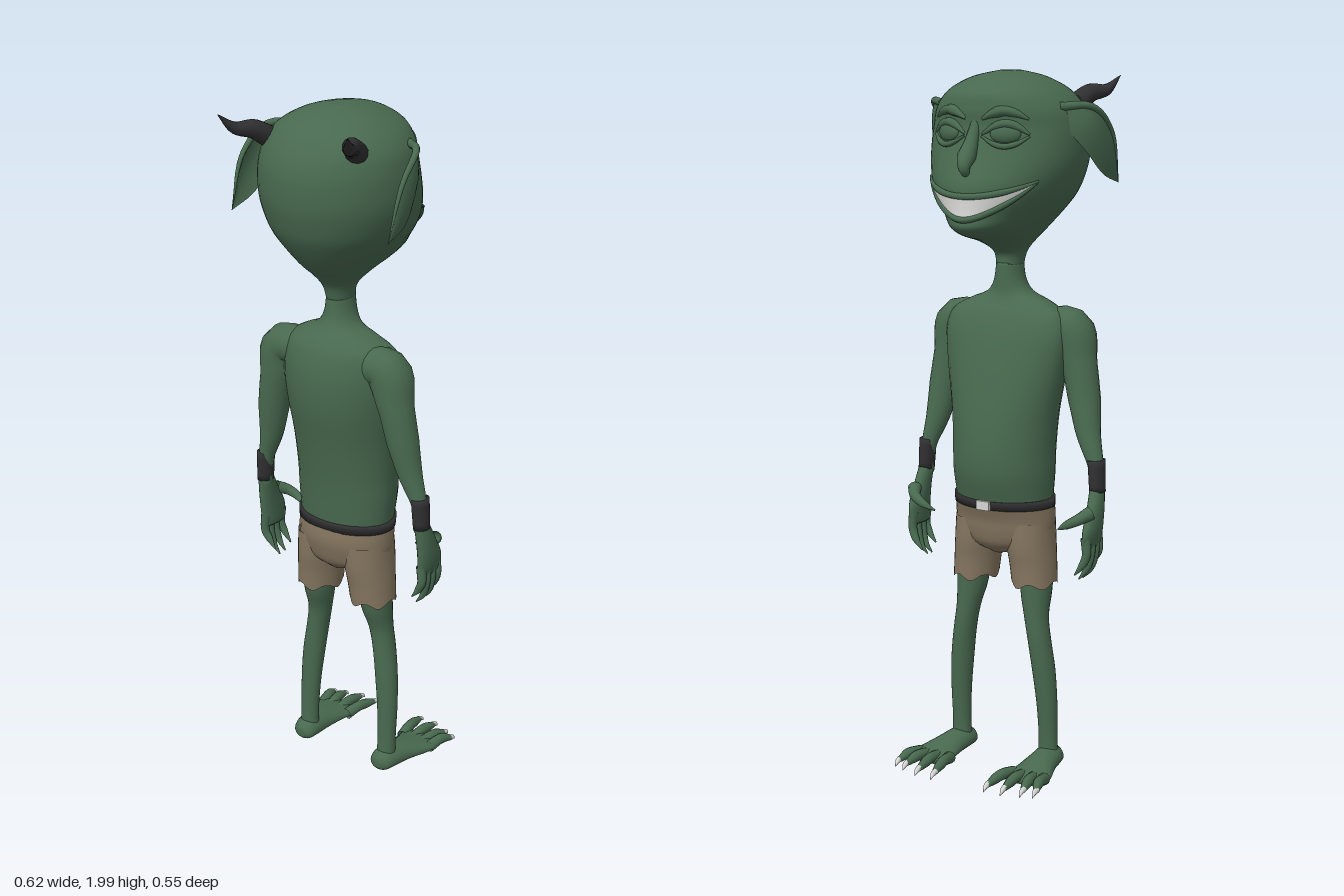
import * as THREE from 'three';

const mat = (name, color, side = THREE.FrontSide) => {
  const m = new THREE.MeshStandardMaterial({ color, side });
  m.name = name;
  return m;
};

// Catmull-Rom sampling of rings [cx, y, cz, halfWidth, depthFront, depthBack]
function sampleRings(rings, steps) {
  const out = [], n = rings.length - 1;
  for (let s = 0; s <= n * steps; s++) {
    const i = Math.min(Math.floor(s / steps), n - 1), t = s / steps - i;
    const [a, b, c, d] = [Math.max(i - 1, 0), i, i + 1, Math.min(i + 2, n)].map(k => rings[k]);
    out.push(b.map((_, k) => 0.5 * (2 * b[k] + (c[k] - a[k]) * t
      + (2 * a[k] - 5 * b[k] + 4 * c[k] - d[k]) * t * t
      + (3 * b[k] - a[k] - 3 * c[k] + d[k]) * t * t * t)));
  }
  return out;
}

const ringPoint = ([cx, y, cz, rx, rf, rb], a, grow = 0) => {
  const c = Math.cos(a);
  return [cx + (rx + grow) * Math.sin(a), y, cz - ((c > 0 ? rf : rb) + grow) * c];
};

// Surface through a grid of points, optionally closed around each row
function gridGeometry(rows, closed) {
  const m = rows[0].length, idx = [];
  for (let i = 0; i < rows.length - 1; i++) {
    for (let j = 0; j < (closed ? m : m - 1); j++) {
      const a = i * m + j, b = i * m + (j + 1) % m;
      idx.push(a, a + m, b, b, a + m, b + m);
    }
  }
  const g = new THREE.BufferGeometry();
  g.setAttribute('position', new THREE.Float32BufferAttribute(rows.flat(2), 3));
  g.setIndex(idx);
  g.computeVertexNormals();
  return g;
}

function loft(rings, { steps = 4, sides = 32, caps = true } = {}) {
  const r = sampleRings(rings, steps);
  if (caps) {
    const point = q => [q[0], q[1], q[2], 0, 0, 0];
    r.unshift(point(r[0]));
    r.push(point(r[r.length - 1]));
  }
  return gridGeometry(r.map(q => Array.from({ length: sides },
    (_, j) => ringPoint(q, j / sides * Math.PI * 2))), true);
}

// Tube along points whose radius follows the list of radii
function taper(points, radii, seg = 20, sides = 12) {
  const curve = new THREE.CatmullRomCurve3(points.map(p => new THREE.Vector3(...p)));
  const g = new THREE.TubeGeometry(curve, seg, 1, sides), pos = g.attributes.position;
  const v = new THREE.Vector3();
  for (let i = 0; i <= seg; i++) {
    const c = curve.getPointAt(i / seg), f = i / seg * (radii.length - 1);
    const k = Math.min(Math.floor(f), radii.length - 2);
    const r = THREE.MathUtils.lerp(radii[k], radii[k + 1], f - k);
    for (let j = 0; j <= sides; j++) {
      const n = i * (sides + 1) + j;
      v.fromBufferAttribute(pos, n).sub(c).multiplyScalar(r).add(c);
      pos.setXYZ(n, v.x, v.y, v.z);
    }
  }
  return g;
}

const HEAD = [
  [0, 1.46, .025, .036, .046, .047], [0, 1.50, .03, .045, .058, .055], [0, 1.535, .03, .072, .13, .085],
  [0, 1.56, .03, .095, .22, .115], [0, 1.585, .03, .118, .264, .138], [0, 1.62, .03, .15, .26, .165],
  [0, 1.66, .03, .182, .257, .19], [0, 1.70, .03, .202, .255, .205], [0, 1.75, .03, .217, .235, .217],
  [0, 1.80, .03, .221, .215, .22], [0, 1.85, .03, .218, .2, .215], [0, 1.90, .03, .204, .2, .195],
  [0, 1.945, .03, .165, .187, .16], [0, 1.98, .03, .1, .13, .095], [0, 1.997, .03, .03, .045, .03],
];
const headRings = sampleRings(HEAD, 6);
function headPoint(y, a, grow = 0) {
  const i = Math.max(1, headRings.findIndex(r => r[1] >= y));
  const p = headRings[i - 1], q = headRings[i], t = (y - p[1]) / (q[1] - p[1]);
  return ringPoint(p.map((n, k) => n + (q[k] - n) * t), a, grow);
}

export function createModel() {
  const model = new THREE.Group();
  const skin = mat('green skin', 0x48694f, THREE.DoubleSide);
  const cloth = mat('tan cloth', 0x857660, THREE.DoubleSide);
  const dark = mat('charcoal', 0x303032, THREE.DoubleSide);
  const pale = mat('pale grey', 0xd6d6d4, THREE.DoubleSide);
  const add = (parent, name, geo, m) => {
    const mesh = new THREE.Mesh(geo, m);
    mesh.name = name;
    parent.add(mesh);
    return mesh;
  };

  // Head and torso
  add(model, 'head', loft(HEAD, { steps: 6, sides: 48 }), skin);
  add(model, 'torso', loft([
    [0, .77, 0, .143, .112, .095], [0, .81, 0, .147, .122, .1], [0, .88, 0, .152, .14, .105],
    [0, .95, 0, .153, .142, .113], [0, 1.05, 0, .16, .13, .13], [0, 1.15, 0, .176, .108, .15],
    [0, 1.22, 0, .186, .09, .155], [0, 1.28, 0, .188, .072, .15], [0, 1.33, .01, .172, .062, .125],
    [0, 1.36, .02, .125, .055, .095], [0, 1.385, .025, .068, .05, .068],
    [0, 1.42, .025, .044, .048, .053], [0, 1.47, .025, .036, .046, .047],
  ]), skin);

  // Nose and mouth
  add(model, 'nose', taper([[0, 1.88, -.15], [0, 1.81, -.185], [0, 1.75, -.222], [0, 1.725, -.205]],
    [.012, .018, .026, .008]), skin);
  const upper = u => 1.672 + .04 * u * u, lower = u => 1.61 + .1 * u * u;
  const us = Array.from({ length: 33 }, (_, i) => i / 16 - 1);
  add(model, 'teeth', gridGeometry([0, .25, .5, .75, 1].map(t =>
    us.map(u => headPoint(THREE.MathUtils.lerp(lower(u), upper(u), t), u * .95, .004))), false), pale);
  for (const [name, edge] of [['upperLip', upper], ['lowerLip', lower]]) {
    add(model, name, taper(us.map(u => headPoint(edge(u), u * .95, .002)),
      [.003, .009, .009, .009, .003], 40, 8), skin);
  }

  // Shorts, belt and buckle
  add(model, 'shortsSeat', loft([
    [0, .64, 0, .03, .05, .05], [0, .67, 0, .12, .085, .085], [0, .71, 0, .148, .098, .1],
    [0, .75, 0, .152, .105, .108], [0, .795, 0, .15, .122, .105],
  ]), cloth);
  add(model, 'belt', loft([[0, .782, 0, .153, .12, .106], [0, .808, 0, .153, .127, .106]], { steps: 1 }), dark);
  add(model, 'buckle', new THREE.BoxGeometry(.042, .026, .009), pale).position.set(0, .796, -.127);

  for (const s of [1, -1]) {
    const half = new THREE.Group();
    half.name = s > 0 ? 'leftSide' : 'rightSide';
    half.scale.x = s;
    model.add(half);

    // Horn
    add(half, 'horn', taper([[.145, 1.905, .145], [.163, 1.932, .19], [.19, 1.94, .235], [.214, 1.978, .273]],
      [.031, .026, .016, .001]), dark);

    // Drooping ear: strips between its upper and lower edge
    const edge = pts => new THREE.CatmullRomCurve3(pts.map(p => new THREE.Vector3(...p)));
    const top = edge([[.185, 1.905, -.03], [.25, 1.905, .03], [.268, 1.835, .115], [.264, 1.69, .168]]);
    const low = edge([[.205, 1.845, -.03], [.238, 1.79, .015], [.258, 1.72, .085], [.264, 1.69, .168]]);
    const ear = [0, .2, .4, .6, .8, 1].map(k => Array.from({ length: 17 }, (_, i) => {
      const p = low.getPoint(i / 16).lerp(top.getPoint(i / 16), k);
      p.x += .012 * Math.sin(k * Math.PI) * Math.sin(i / 16 * Math.PI);
      return p.toArray();
    }));
    add(half, 'ear', gridGeometry(ear, false), skin);
    add(half, 'earRim', taper(top.getPoints(10).map(p => p.toArray()), [.012, .009, .006, .001]), skin);

    // Eye with heavy lids and brow
    const arc = (y, bend) => [.12, .27, .42, .57, .72].map((a, i) =>
      headPoint(y + bend * Math.sin(i / 4 * Math.PI), a, .002));
    const eye = add(half, 'eye', new THREE.SphereGeometry(1, 20, 14), skin);
    eye.scale.set(.042, .026, .016);
    eye.position.set(...headPoint(1.835, .42, -.004));
    eye.rotation.y = -.42;
    add(half, 'upperLid', taper(arc(1.835, .028), [.003, .012, .012, .003], 16, 8), skin);
    add(half, 'lowerLid', taper(arc(1.83, -.026), [.003, .008, .008, .003], 16, 8), skin);
    add(half, 'brow', taper(arc(1.875, .022), [.004, .015, .012, .003], 16, 8), skin);

    // Arm, wristband and hand
    add(half, 'arm', taper([[.11, 1.29, .05], [.18, 1.29, .05], [.207, 1.2, .05], [.228, 1.1, .045],
      [.248, 1, .035], [.278, .9, .027], [.282, .83, .025]],
      [.05, .064, .05, .046, .036, .023, .021], 32, 18), skin);
    add(half, 'wristband', loft([[.283, .84, .025, .022, .028, .027], [.278, .93, .027, .024, .03, .03]]), dark);
    add(half, 'palm', loft([
      [.282, .685, -.008, .012, .045, .04], [.284, .70, -.008, .016, .052, .045],
      [.287, .74, -.005, .02, .055, .045], [.286, .80, .012, .021, .04, .032], [.282, .85, .025, .02, .026, .025],
    ], { sides: 20 }), skin);
    add(half, 'thumb', taper([[.29, .79, -.03], [.268, .775, -.062], [.235, .757, -.07], [.203, .738, -.058]],
      [.02, .016, .012, .002]), skin);
    [[-.047, .61], [-.021, .592], [.004, .59], [.026, .615]].forEach(([z, y], i) => add(half, 'finger' + (i + 1),
      taper([[.284, .72, z], [.287, .67, z], [.275, y + .03, z - .003], [.252, y, z - .003]],
        [.014, .013, .011, .002]), skin));

    // Shorts leg with a ragged hem
    const leg = loft([[.097, .553, 0, .064, .074, .07], [.092, .61, 0, .066, .076, .076],
      [.085, .67, 0, .068, .084, .086], [.077, .74, 0, .072, .085, .09]], { caps: false });
    const pos = leg.attributes.position;
    for (let j = 0; j < 32; j++) pos.setY(j, .556 + .009 * Math.sin(j / 32 * Math.PI * 10));
    add(half, 'shortsLeg', leg, cloth);

    // Leg and foot
    add(half, 'leg', loft([
      [.146, .03, -.005, .03, .025, .028], [.146, .1, -.006, .028, .025, .025], [.144, .2, -.01, .031, .03, .027],
      [.136, .3, -.015, .034, .035, .031], [.124, .39, -.02, .033, .038, .035], [.113, .46, -.018, .035, .04, .037],
      [.106, .53, -.007, .044, .05, .05], [.103, .62, 0, .05, .055, .055],
    ], { sides: 24 }), skin);
    add(half, 'foot', loft([
      [.145, -.042, .03, .012, .012, .012], [.146, -.03, .027, .032, .022, .03], [.148, 0, .03, .041, .026, .036],
      [.153, .06, .027, .047, .022, .034], [.16, .12, .024, .06, .019, .024],
      [.16, .165, .022, .067, .014, .016], [.159, .188, .021, .055, .007, .008],
    ], { sides: 24 }).rotateX(-Math.PI / 2), skin);
    [[.108, .088, .277], [.143, .142, .277], [.176, .194, .26], [.207, .228, .246]].forEach(([x0, x1, z], i) => {
      add(half, 'toe' + (i + 1), taper([[x0, .023, -.14], [(x0 + x1) / 2, .032, -.19], [x1, .022, .02 - z]],
        [.018, .016, .015, .008], 14), skin);
      add(half, 'claw' + (i + 1), taper([[x1, .024, .027 - z], [x1, .02, .012 - z], [x1, .008, -z]],
        [.009, .007, .001], 6, 8), pale);
    });
  }
  return model;
}
